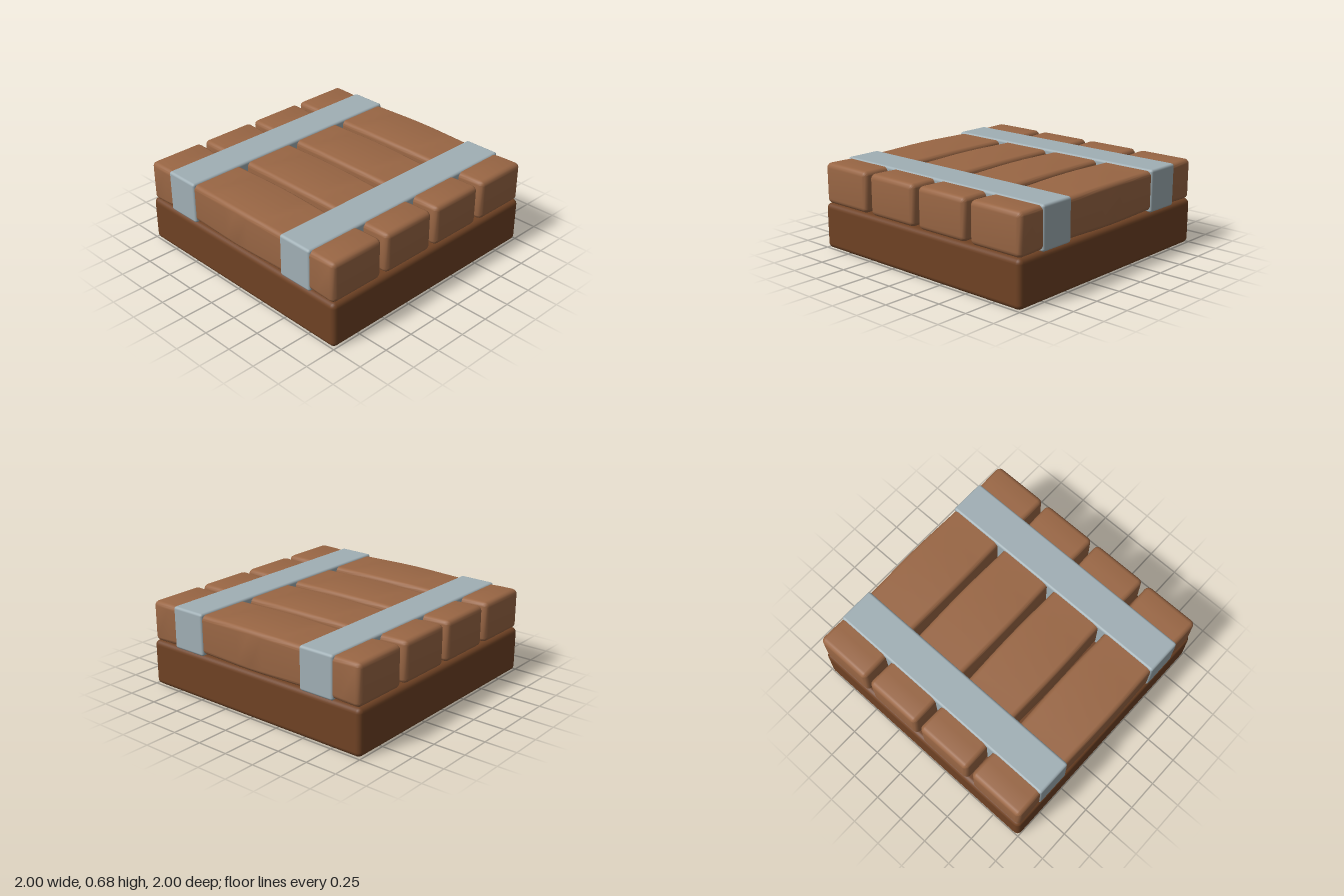
import * as THREE from 'three';
import { RoundedBoxGeometry } from 'three/addons/geometries/RoundedBoxGeometry.js';
import { toCreasedNormals } from 'three/addons/utils/BufferGeometryUtils.js';

const darkWood = new THREE.MeshStandardMaterial({ color: 0x6f4224 });
const lightWood = new THREE.MeshStandardMaterial({ color: 0x996644 });
const metal = new THREE.MeshStandardMaterial({ color: 0xa0afb5 });

function block(name, w, h, d, r, material, x, y, z) {
  const mesh = new THREE.Mesh(new RoundedBoxGeometry(w, h, d, 3, r), material);
  mesh.name = name;
  mesh.position.set(x, y, z);
  return mesh;
}

// Rounded plank along x, squeezed slightly where the straps hold it
function plankGeometry(length, height, depth, r) {
  const a = depth / 2 - r, b = height / 2 - r, c = r * 0.01;
  const shape = new THREE.Shape();
  shape.absarc(a, b, c, 0, Math.PI / 2);
  shape.absarc(-a, b, c, Math.PI / 2, Math.PI);
  shape.absarc(-a, -b, c, Math.PI, Math.PI * 1.5);
  shape.absarc(a, -b, c, Math.PI * 1.5, Math.PI * 2);
  const geo = new THREE.ExtrudeGeometry(shape, {
    depth: length - 2 * r, steps: 16, curveSegments: 4,
    bevelThickness: r, bevelSize: r - c, bevelSegments: 4,
  });
  geo.translate(0, 0, r - length / 2);
  geo.rotateY(Math.PI / 2);

  const strapX = 0.615, p = geo.attributes.position;
  for (let i = 0; i < p.count; i++) {
    const x = Math.abs(p.getX(i));
    const reach = x < strapX ? strapX : 0.3;
    const t = Math.min(Math.abs(x - strapX) / reach, 1);
    const pinch = 0.009 * (1 + Math.cos(Math.PI * t)) / 2;
    p.setY(i, p.getY(i) * (1 - pinch / (height / 2)));
    p.setZ(i, p.getZ(i) * (1 - pinch / (depth / 2)));
  }
  return toCreasedNormals(geo, 0.7);
}

export function createModel() {
  const model = new THREE.Group();
  model.name = 'plankPlatform';

  // Solid base slab
  model.add(block('base', 2, 0.36, 2, 0.04, darkWood, 0, 0.18, 0));

  // Four planks laid across the base
  const plankGeo = plankGeometry(1.98, 0.318, 0.462, 0.04);
  for (let i = 0; i < 4; i++) {
    const plank = new THREE.Mesh(plankGeo, lightWood);
    plank.name = `plank${i + 1}`;
    plank.position.set(0, 0.517, (i - 1.5) * 0.508);
    model.add(plank);
  }

  // Two metal straps running front to back
  for (const side of [-1, 1]) {
    const name = side > 0 ? 'leftStrap' : 'rightStrap';
    model.add(block(name, 0.295, 0.33, 1.992, 0.02, metal, side * 0.615, 0.515, 0));
  }
  return model;
}
